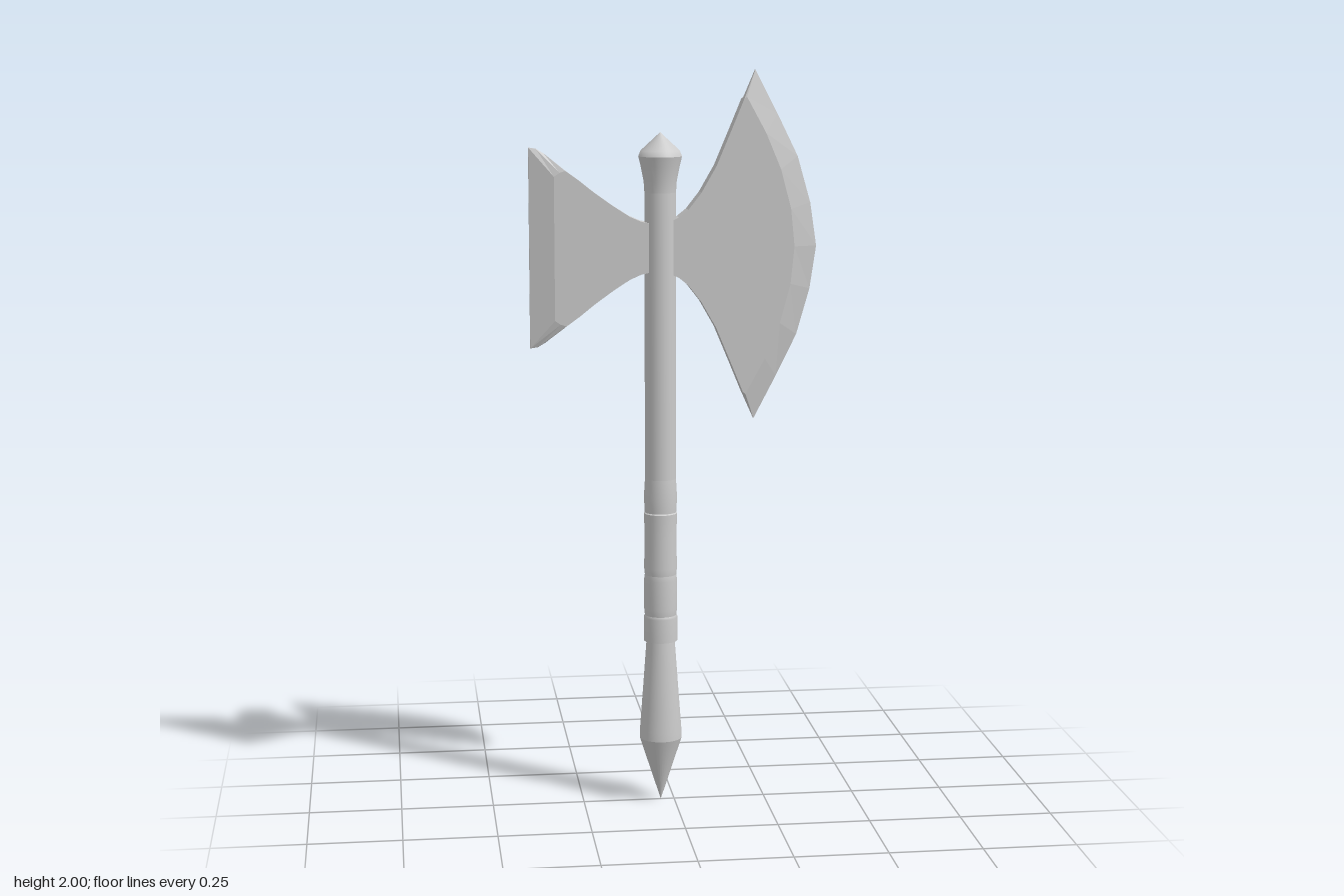
import * as THREE from 'three';

const MID = 1.535;    // height of the blade axis
const AXIS = -0.037;  // x of the shaft
const FULL = 0.026, THIN = 0.005; // half thickness of body and cutting edge

const material = () => new THREE.MeshStandardMaterial({ color: 0xcccccc });

// Turned part; each straight run gets its own points so its rims stay crisp
function turned(name, runs) {
  const group = new THREE.Group();
  group.name = name;
  for (const run of runs) {
    const points = run.map(([r, y]) => new THREE.Vector2(r, y));
    const mesh = new THREE.Mesh(new THREE.LatheGeometry(points, 32), material());
    mesh.name = name + 'Section';
    group.add(mesh);
  }
  group.position.x = AXIS;
  return group;
}

// Bevelled blade. Each half-profile entry is [x, dy, bodyX, bodyDy]: the thin
// rim point and, where bevelled, the matching point of the thick body.
function blade(name, half) {
  const below = half.filter((p) => p[1] > 0).map(([x, y, bx, by]) => [x, -y, bx, by === undefined ? by : -by]);
  let loop = [...below, ...half.slice().reverse()];
  const area = loop.reduce((s, p, i) => {
    const q = loop[(i + 1) % loop.length];
    return s + p[0] * q[1] - q[0] * p[1];
  }, 0);
  if (area < 0) loop = loop.reverse();
  const rim = loop.map((p) => new THREE.Vector2(p[0], p[1]));
  const body = loop.map((p) => new THREE.Vector2(p[2] ?? p[0], p[3] ?? p[1]));
  const pos = [];
  const put = (p, z) => pos.push(p.x, p.y + MID, z);
  const quad = (a, az, b, bz, c, cz, d, dz) => {
    put(a, az); put(b, bz); put(c, cz);
    put(a, az); put(c, cz); put(d, dz);
  };
  // flat cheeks
  for (const [a, b, c] of THREE.ShapeUtils.triangulateShape(body, [])) {
    put(body[a], FULL); put(body[b], FULL); put(body[c], FULL);
    put(body[a], -FULL); put(body[c], -FULL); put(body[b], -FULL);
  }
  // bevels on both cheeks and the narrow rim between them
  for (let i = 0; i < rim.length; i++) {
    const j = (i + 1) % rim.length;
    quad(rim[i], THIN, rim[j], THIN, body[j], FULL, body[i], FULL);
    quad(rim[i], -THIN, rim[j], -THIN, rim[j], THIN, rim[i], THIN);
    quad(body[i], -FULL, body[j], -FULL, rim[j], -THIN, rim[i], -THIN);
  }
  const geometry = new THREE.BufferGeometry();
  geometry.setAttribute('position', new THREE.Float32BufferAttribute(pos, 3));
  geometry.computeVertexNormals();
  const mesh = new THREE.Mesh(geometry, material());
  mesh.name = name;
  return mesh;
}

export function createModel() {
  const model = new THREE.Group();
  model.name = 'battleAxe';

  // Pointed pommel swelling below the grip
  model.add(turned('pommel', [
    [[0, 0.005], [0.058, 0.185]],
    [[0.058, 0.185], [0.057, 0.21], [0.048, 0.33], [0.038, 0.47]],
  ]));

  // Wrapped grip in stacked bands
  model.add(turned('grip', [
    [[0.036, 0.46], [0.046, 0.46]],
    [[0.046, 0.46], [0.046, 0.525], [0.043, 0.532]],
    [[0.043, 0.532], [0.045, 0.55], [0.045, 0.63], [0.043, 0.645]],
    [[0.043, 0.645], [0.045, 0.665], [0.043, 0.74], [0.045, 0.815]],
    [[0.045, 0.815], [0.041, 0.818]],
    [[0.043, 0.818], [0.045, 0.86], [0.042, 0.91]],
  ]));

  // Shaft
  model.add(turned('shaft', [[[0.041, 0.8], [0.042, 0.92], [0.042, 1.7]]]));

  // Flared cap with a low point
  model.add(turned('cap', [
    [[0.042, 1.68], [0.044, 1.71], [0.052, 1.75], [0.058, 1.775]],
    [[0.058, 1.775], [0.052, 1.79], [0, 1.838]],
  ]));

  // Crescent blade, from root along the upper side and round to the edge
  model.add(blade('crescentBlade', [
    [-0.012, 0.07], [0.01, 0.08], [0.035, 0.1], [0.07, 0.145], [0.11, 0.215], [0.15, 0.31],
    [0.183, 0.39],
    [0.215, 0.465, 0.19, 0.395],
    [0.275, 0.35, 0.242, 0.3],
    [0.33, 0.238, 0.282, 0.205],
    [0.365, 0.115, 0.31, 0.1],
    [0.382, 0, 0.32, 0],
  ]));

  // Straight-edged rear blade
  model.add(blade('rearBlade', [
    [-0.066, 0.065], [-0.09, 0.07], [-0.12, 0.083], [-0.165, 0.112], [-0.215, 0.148], [-0.255, 0.18],
    [-0.287, 0.203],
    [-0.345, 0.25, -0.29, 0.205],
    [-0.365, 0.262, -0.305, 0.2],
    [-0.385, 0.265, -0.32, 0.19],
    [-0.385, 0, -0.32, 0],
  ]));

  return model;
}
